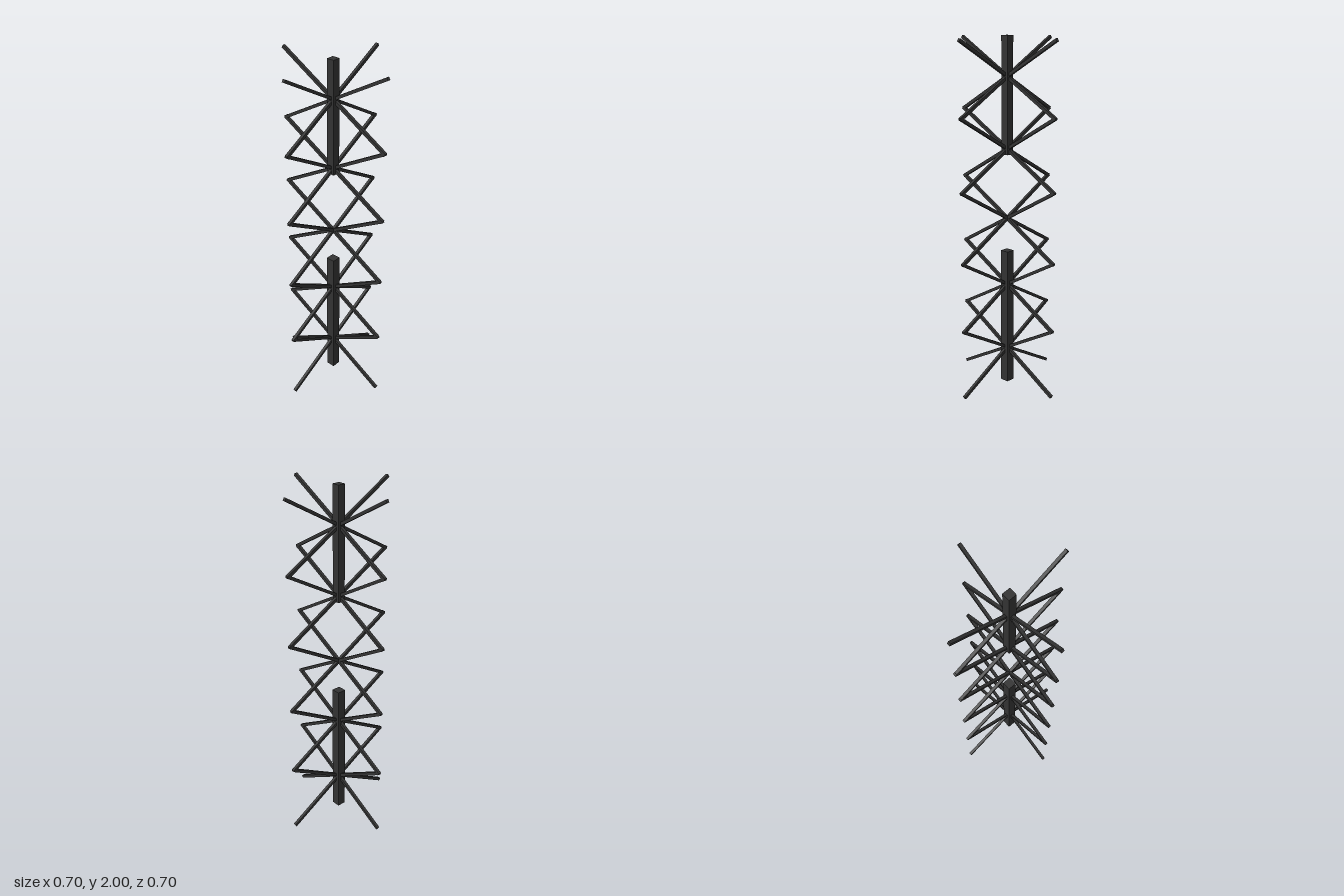
import * as THREE from 'three';

export function createModel() {
  const model = new THREE.Group();
  model.name = 'scissorMast';

  const darkMetal = new THREE.MeshStandardMaterial({ color: 0x333333 });
  darkMetal.name = 'darkMetal';

  const addBox = (parent, name, width, height, depth, y) => {
    const mesh = new THREE.Mesh(new THREE.BoxGeometry(width, height, depth), darkMetal);
    mesh.name = name;
    mesh.position.y = y;
    parent.add(mesh);
    return mesh;
  };

  // Square posts: a wider one at the base, a slimmer one at the top
  addBox(model, 'lowerPost', 0.052, 0.805, 0.052, 0.4025);
  addBox(model, 'upperPost', 0.045, 0.64, 0.045, 1.68);

  // Two crossed scissor lattices, one in each vertical plane
  const barLength = 0.802, barWidth = 0.017, tilt = THREE.MathUtils.degToRad(29.9);
  const stages = 5, spacing = 0.394, middle = 0.996;
  for (const [name, turn] of [['sideLattice', 0], ['frontBackLattice', Math.PI / 2]]) {
    const lattice = new THREE.Group();
    lattice.name = name;
    lattice.rotation.y = turn;
    for (let i = 0; i < stages; i++) {
      const y = middle + (i - (stages - 1) / 2) * spacing;
      for (const side of [-1, 1]) {
        const bar = addBox(lattice, 'scissorBar', barLength, barWidth, barWidth, y);
        bar.rotation.z = side * tilt;
      }
    }
    model.add(lattice);
  }

  return model;
}
